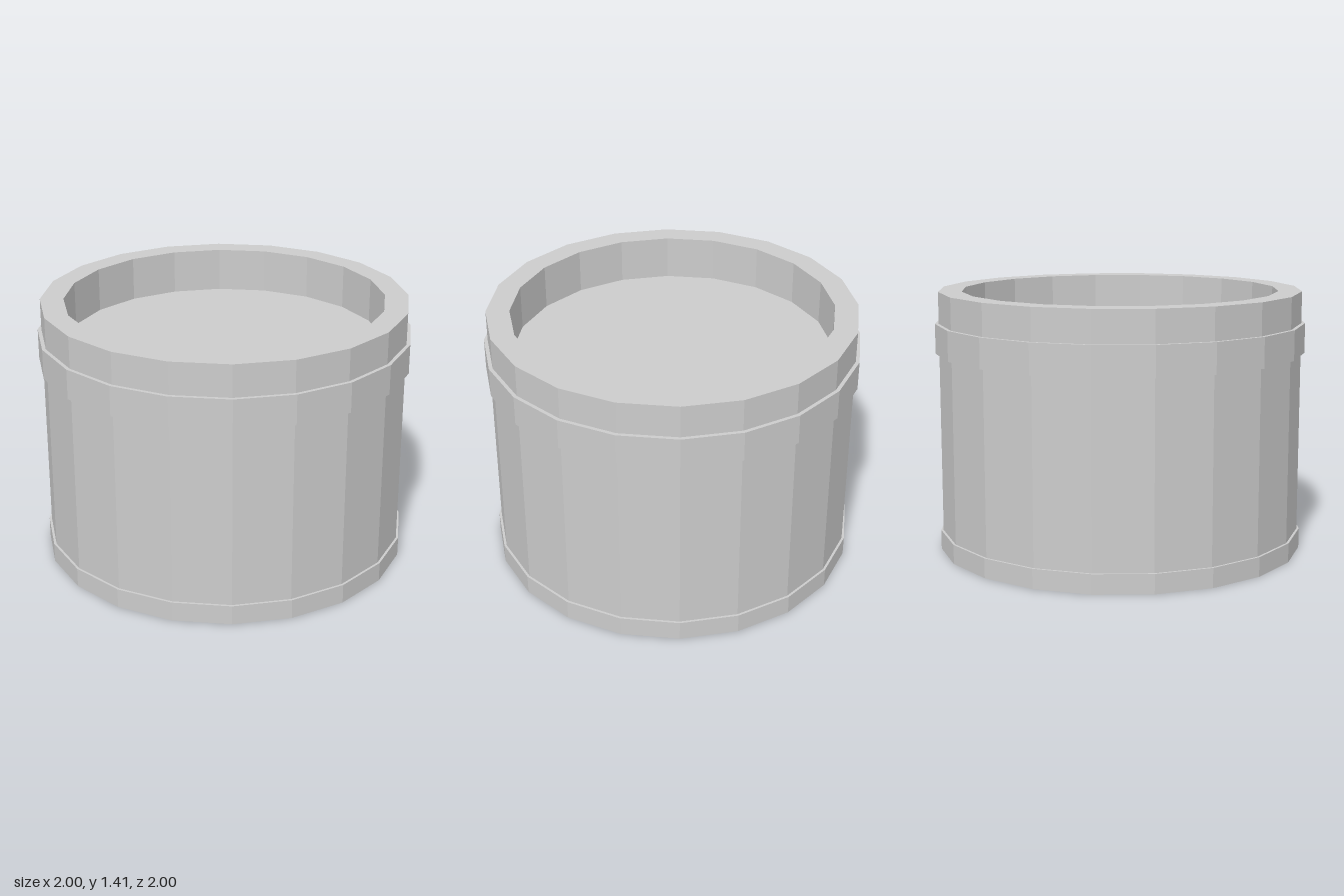
import * as THREE from 'three';

const SIDES = 20;
const material = new THREE.MeshStandardMaterial({ color: 0xcccccc, flatShading: true });

// Faceted ring or shell turned from a [radius, height] profile, listed so the outside faces out
function turned(name, profile) {
  const points = profile.map(([r, y]) => new THREE.Vector2(r, y));
  const geometry = new THREE.LatheGeometry(points, SIDES).toNonIndexed();
  geometry.computeVertexNormals();
  const mesh = new THREE.Mesh(geometry, material);
  mesh.name = name;
  return mesh;
}

export function createModel() {
  const group = new THREE.Group();
  group.name = 'drum';

  const body = 0.98, inner = 0.855, top = 1.41, floor = 1.17;

  // Closed foot with a slightly wider rim
  group.add(turned('base', [[0, 0], [0.993, 0], [0.993, 0.105], [body, 0.105]]));

  // Outer wall and flat top rim
  group.add(turned('wall', [[body, 0.105], [body, top], [inner, top]]));

  // Raised band around the upper wall
  group.add(turned('band', [[body, 1.08], [1, 1.08], [1, 1.24], [body, 1.24]]));

  // Shallow recess in the top
  group.add(turned('recess', [[inner, top], [inner, floor], [0, floor]]));

  return group;
}
